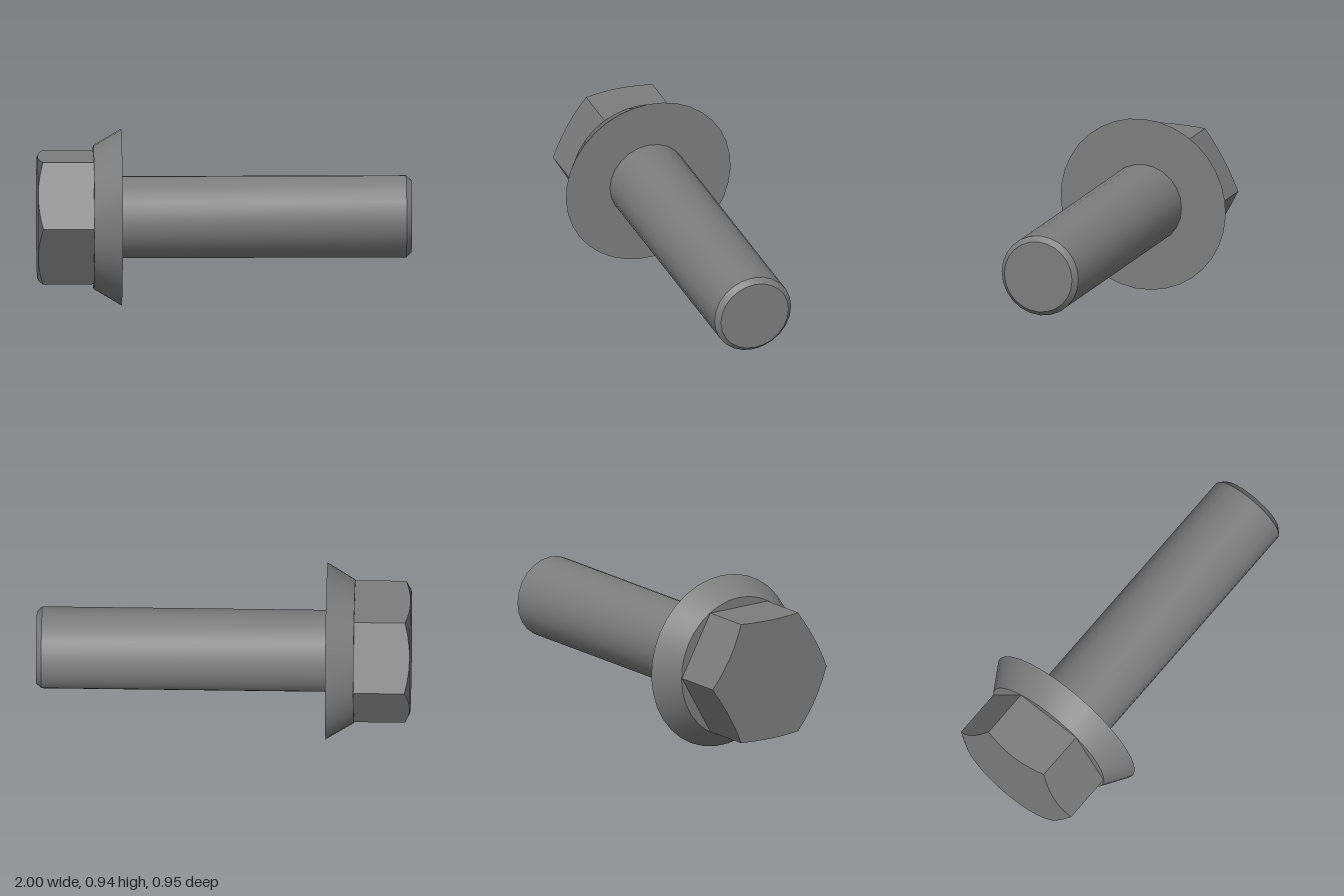
import * as THREE from 'three';
import { toCreasedNormals } from 'three/addons/utils/BufferGeometryUtils.js';

const AXIS_Y = 0.473;
const material = new THREE.MeshStandardMaterial({ color: 0x7d7d7d });

// Profile points are [radius, x]; the lathe axis is laid along x.
function turned(name, profile, sides, phiStart, reshape) {
  const points = profile.map(([r, x]) => new THREE.Vector2(r, x));
  const geometry = new THREE.LatheGeometry(points, sides, phiStart);
  if (reshape) reshape(geometry.attributes.position);
  geometry.rotateZ(-Math.PI / 2);
  const mesh = new THREE.Mesh(toCreasedNormals(geometry, 0.45), material);
  mesh.name = name;
  mesh.position.y = AXIS_Y;
  return mesh;
}

export function createModel() {
  const group = new THREE.Group();
  group.name = 'flangeBolt';

  // Hexagonal head: the outer rings are pushed out to the hexagon, and the
  // edge of the end face falls back along a shallow chamfer cone.
  const apothem = 0.33, faceX = -1, baseX = -0.7, edgeX = -0.999;
  const toHexagon = (position) => {
    const sector = Math.PI / 3;
    for (let i = 0; i < position.count; i++) {
      const x = position.getX(i), y = position.getY(i), z = position.getZ(i);
      if (y === faceX || Math.hypot(x, z) < 0.01) continue;
      const phi = Math.atan2(x, z) + 2 * Math.PI;
      const scale = 1 / Math.cos((phi % sector) - sector / 2);
      const newY = y < -0.9 ? edgeX + apothem * (scale - 1) * 0.52 : y;
      position.setXYZ(i, x * scale, newY, z * scale);
    }
  };
  const head = turned('hexHead',
    [[0, faceX], [apothem - 0.002, faceX], [apothem, edgeX], [apothem, baseX], [0, baseX]],
    36, 0, toHexagon);
  // The chamfer shades as one with the end face
  const normal = head.geometry.attributes.normal;
  for (let i = 0; i < normal.count; i++) {
    if (normal.getX(i) < -0.7) normal.setXYZ(i, -1, 0, 0);
  }
  group.add(head);

  // Conical washer flange
  group.add(turned('flange',
    [[0, -0.7], [0.384, -0.7], [0.473, -0.55], [0, -0.55]], 35, -Math.PI / 2));

  // Plain shank with a chamfered tip
  group.add(turned('shank',
    [[0, -0.56], [0.22, -0.56], [0.22, 0.972], [0.194, 1], [0, 1]], 24, -Math.PI / 2));

  return group;
}
